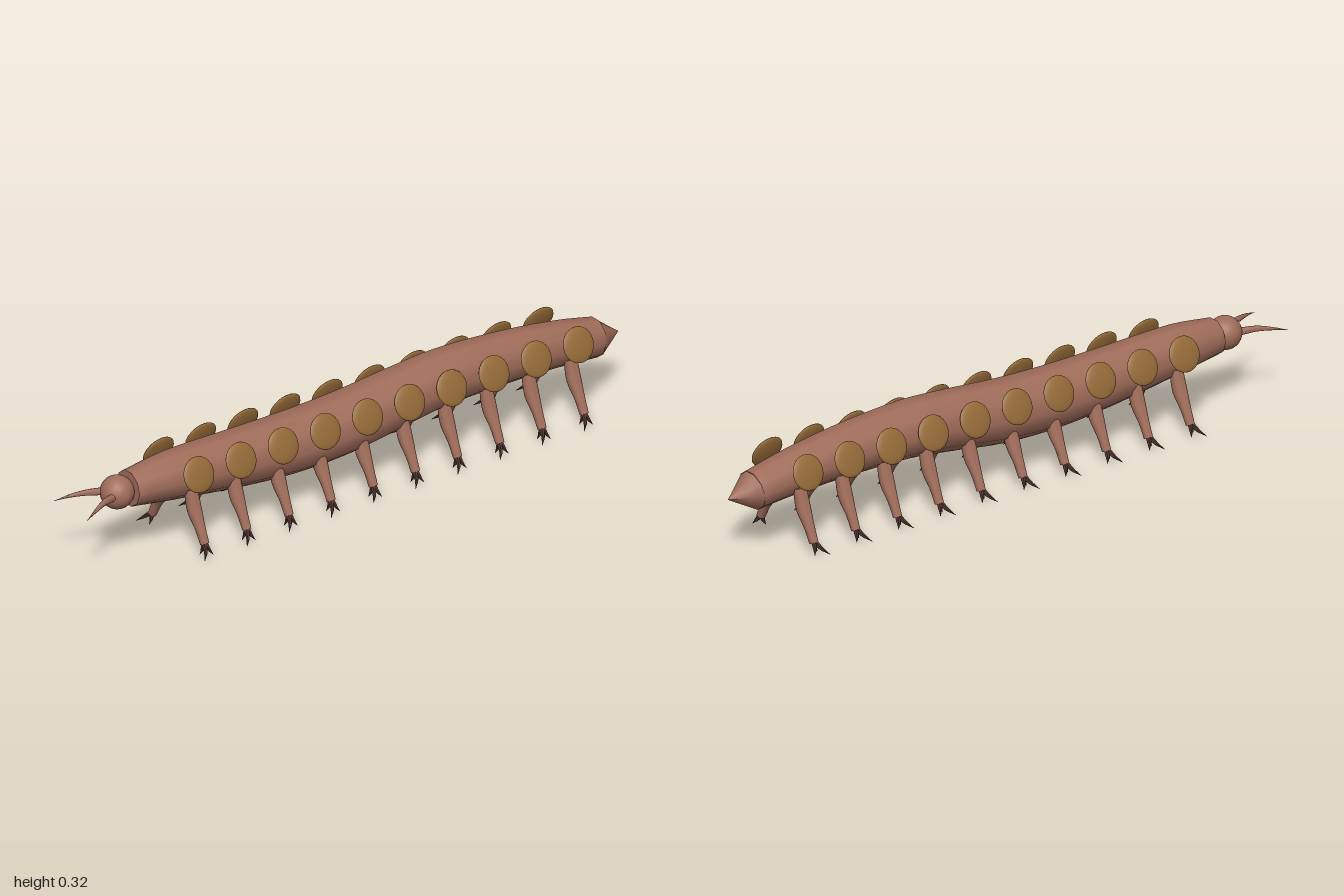
import * as THREE from 'three';
import { toCreasedNormals } from 'three/addons/utils/BufferGeometryUtils.js';

// Closed, capped loft of round cross-sections along a smooth path
function loft(points, radii, sides, segs) {
  const path = new THREE.CatmullRomCurve3(points.map(p => new THREE.Vector3(...p)));
  const width = new THREE.CatmullRomCurve3(radii.map((r, i) => new THREE.Vector3(r, i, 0)));
  const { normals, binormals } = path.computeFrenetFrames(segs);
  const pos = [], index = [];
  for (let k = 0; k <= segs + 2; k++) {
    const i = Math.min(Math.max(k - 1, 0), segs), t = i / segs;
    const c = path.getPoint(t);
    const r = k === 0 || k === segs + 2 ? 0 : Math.max(width.getPoint(t).x, 0.0005);
    for (let j = 0; j < sides; j++) {
      const a = (j / sides) * Math.PI * 2;
      const v = c.clone().addScaledVector(normals[i], r * Math.cos(a)).addScaledVector(binormals[i], r * Math.sin(a));
      pos.push(v.x, v.y, v.z);
      if (k === segs + 2) continue;
      const p = k * sides + j, q = k * sides + (j + 1) % sides;
      if (k > 0) index.push(p, q, p + sides);
      if (k < segs + 1) index.push(q, q + sides, p + sides);
      if (k === 0) continue;
      if (k === segs + 1) continue;
    }
  }
  const g = new THREE.BufferGeometry();
  g.setAttribute('position', new THREE.Float32BufferAttribute(pos, 3));
  g.setIndex(index);
  return toCreasedNormals(g, 0.9);
}

export function createModel() {
  const model = new THREE.Group();
  model.name = 'crawler';
  const material = (name, color) => {
    const m = new THREE.MeshStandardMaterial({ color });
    m.name = name;
    return m;
  };
  const skin = material('skin', 0xa06c5a);
  const plate = material('plate', 0x946a38);
  const horn = material('claw', 0x4a302a);
  const add = (parent, name, geometry, mat) => {
    const mesh = new THREE.Mesh(geometry, mat);
    mesh.name = name;
    parent.add(mesh);
    return mesh;
  };

  // Long ten-sided body: z, centre height, radius
  const body = [
    [0.79, 0.222, 0.056], [0.65, 0.22, 0.074], [0.4, 0.202, 0.088], [0.2, 0.193, 0.095],
    [0, 0.199, 0.096], [-0.2, 0.222, 0.091], [-0.35, 0.235, 0.087], [-0.6, 0.229, 0.078],
    [-0.8, 0.211, 0.068], [-0.91, 0.194, 0.061],
  ];
  add(model, 'body', loft(body.map(([z, y]) => [0, y, z]), body.map(b => b[2]), 10, 36), skin);
  add(model, 'tail', loft([[0, 0.194, -0.91], [0, 0.187, -1]], [0.061, 0], 10, 2), skin);

  // Head
  const head = add(model, 'head', new THREE.SphereGeometry(0.051, 24, 16), skin);
  head.position.set(0, 0.222, 0.83);

  for (const s of [1, -1]) {
    const side = s > 0 ? 'left' : 'right';
    // Curved feelers
    add(model, side + 'Feeler', loft(
      [[s * 0.024, 0.224, 0.86], [s * 0.042, 0.227, 0.91], [s * 0.062, 0.222, 0.955], [s * 0.08, 0.212, 1]],
      [0.012, 0.009, 0.005, 0], 10, 9), skin);

    // Shared shapes for the repeated legs, claws and plates
    const legGeo = loft(
      [[s * 0.058, 0.186, 0], [s * 0.076, 0.125, 0], [s * 0.102, 0.08, 0], [s * 0.125, 0.034, 0]],
      [0.02, 0.022, 0.016, 0.0135], 10, 9);
    const clawGeos = [[0.165, 0.003, 0.03], [0.121, 0.003, 0.015], [0.148, 0.005, -0.014]].map(([x, y, z]) =>
      loft([[s * 0.125, 0.038, z * 0.1], [s * (0.126 + x) / 2, 0.02, z * 0.4], [s * x, y, z]],
        [0.008, 0.006, 0], 6, 5));
    const plateGeo = new THREE.SphereGeometry(0.054, 24, 16).scale(0.2, 1, 1);

    for (let i = 0; i < 10; i++) {
      const z = 0.605 - i * 0.154;
      const leg = new THREE.Group();
      leg.name = side + 'Leg' + (i + 1);
      leg.position.z = z;
      model.add(leg);
      add(leg, 'limb', legGeo, skin);
      clawGeos.forEach(g => add(leg, 'claw', g, horn));

      const disc = add(model, side + 'Plate' + (i + 1), plateGeo, plate);
      disc.position.set(s * 0.097, 0.248, z);
      disc.rotation.z = s * 0.38;
    }
  }
  return model;
}
